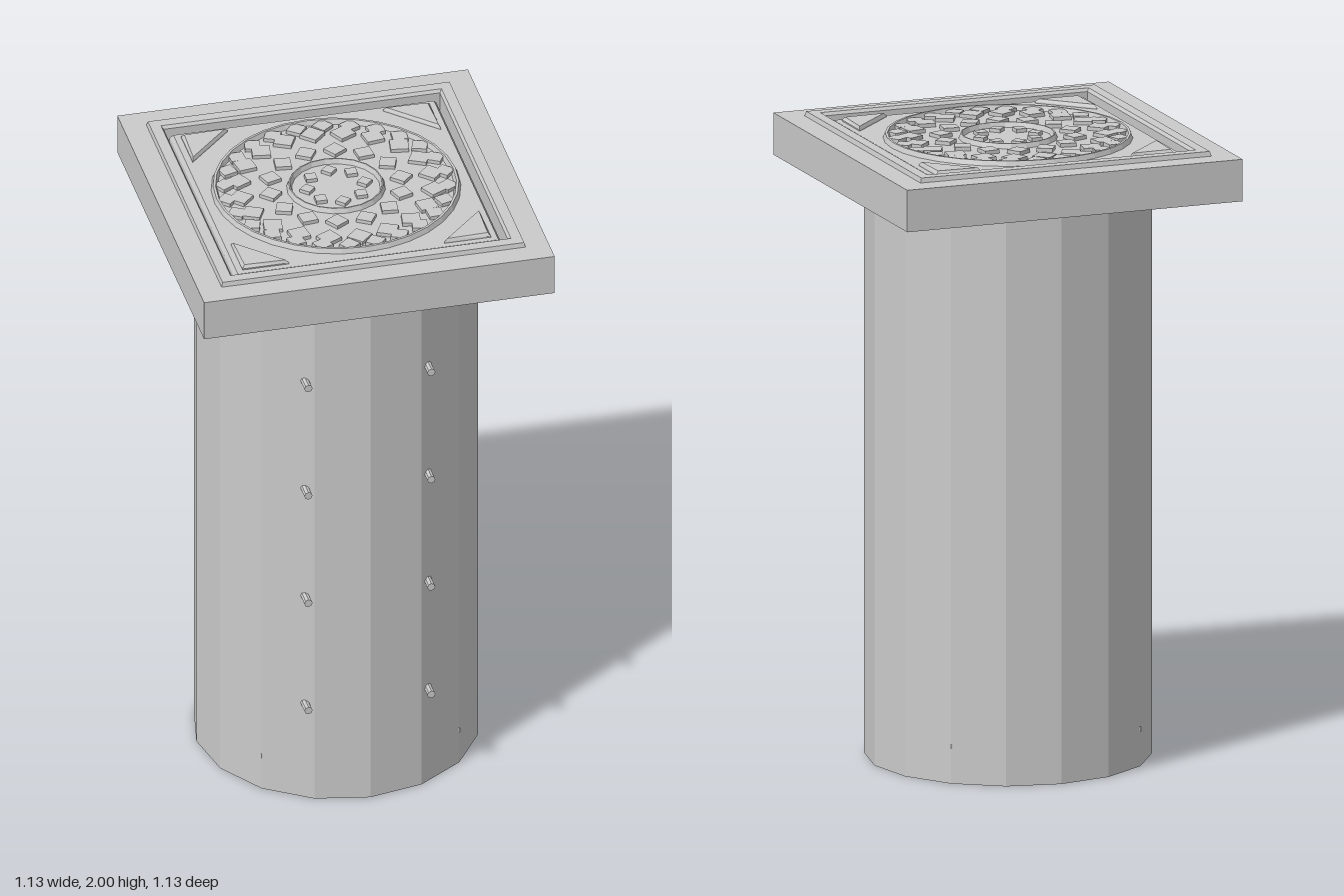
import * as THREE from 'three';
import { mergeGeometries } from 'three/addons/utils/BufferGeometryUtils.js';

export function createModel() {
  const model = new THREE.Group();
  const castGrey = new THREE.MeshStandardMaterial({ color: 0xcacaca, flatShading: true });
  const shaftGrey = castGrey.clone();
  shaftGrey.side = THREE.DoubleSide;

  const add = (name, geometry, material = castGrey) => {
    const mesh = new THREE.Mesh(geometry, material);
    mesh.name = name;
    model.add(mesh);
    return mesh;
  };

  // Turned profile: [radius, y] points, running up the outside and down the inside
  const turned = (points, sides) =>
    new THREE.LatheGeometry(points.map(([r, y]) => new THREE.Vector2(r, y)), sides);

  // Square version: the first number is the half-width
  const squareTurned = (points) =>
    turned(points.map(([h, y]) => [h * Math.SQRT2, y]), 4).rotateY(Math.PI / 4);

  // Open 16-sided shaft and the square floor slab inside it
  add('shaft', new THREE.CylinderGeometry(0.45, 0.45, 1.85, 16, 1, true).translate(0, 0.925, 0), shaftGrey);
  add('floorSlab', new THREE.BoxGeometry(0.64, 0.015, 0.64).translate(0, 0.12, 0));

  // Square frame with a raised lip around the opening
  add('frame', squareTurned([
    [0.445, 1.85], [0.565, 1.85], [0.565, 1.985], [0.49, 1.985],
    [0.486, 2], [0.452, 2], [0.445, 1.99], [0.445, 1.85],
  ]));

  // Cover plate sitting loose in the frame
  const coverTop = 1.98;
  add('cover', squareTurned([
    [0, 1.92], [0.43, 1.92], [0.43, 1.965], [0.42, coverTop], [0, coverTop],
  ]));

  // Raised rings on the cover
  const raisedRing = (name, outer, inner, sides) => add(name, turned([
    [outer, coverTop - 0.002], [outer - 0.007, 1.996],
    [inner + 0.007, 1.996], [inner, coverTop - 0.002],
  ], sides));
  raisedRing('outerRing', 0.392, 0.37, 32);
  raisedRing('innerRing', 0.156, 0.138, 20);

  // Grip studs: rings of diamonds [count, ring radius, half diagonal]
  const studs = [];
  for (const [count, radius, half] of [
    [8, 0.092, 0.025], [14, 0.21, 0.036], [20, 0.307, 0.041], [26, 0.35, 0.034],
  ]) {
    for (let i = 0; i < count; i++) {
      studs.push(new THREE.CylinderGeometry(half, half, 0.014, 4)
        .translate(radius, coverTop + 0.005, 0)
        .rotateY((i / count) * Math.PI * 2));
    }
  }
  add('gripStuds', mergeGeometries(studs));

  // Bevelled triangles in the cover's corners
  const triangle = new THREE.Shape([
    new THREE.Vector2(0.4, 0.4), new THREE.Vector2(0.25, 0.4), new THREE.Vector2(0.4, 0.25),
  ]);
  for (let i = 0; i < 4; i++) {
    add('cornerTriangle', new THREE.ExtrudeGeometry(triangle, {
      depth: 0.004, bevelEnabled: true, bevelSegments: 1,
      bevelSize: 0.008, bevelOffset: -0.008, bevelThickness: 0.01,
    }).rotateX(-Math.PI / 2).translate(0, coverTop, 0).rotateY(i * Math.PI / 2));
  }

  // Step irons: two legs through the front wall joined by a bar inside
  for (let i = 0; i < 4; i++) {
    const step = new THREE.Group();
    step.name = 'stepIron';
    step.position.y = 0.345 + i * 0.397;
    for (const x of [-0.198, 0.198]) {
      const leg = new THREE.Mesh(new THREE.CylinderGeometry(0.013, 0.013, 0.16, 8).rotateX(Math.PI / 2), castGrey);
      leg.name = 'stepLeg';
      leg.position.set(x, 0, 0.362);
      step.add(leg);
    }
    const bar = new THREE.Mesh(new THREE.CylinderGeometry(0.013, 0.013, 0.42, 8).rotateZ(Math.PI / 2), castGrey);
    bar.name = 'stepBar';
    bar.position.z = 0.285;
    step.add(bar);
    model.add(step);
  }

  return model;
}
